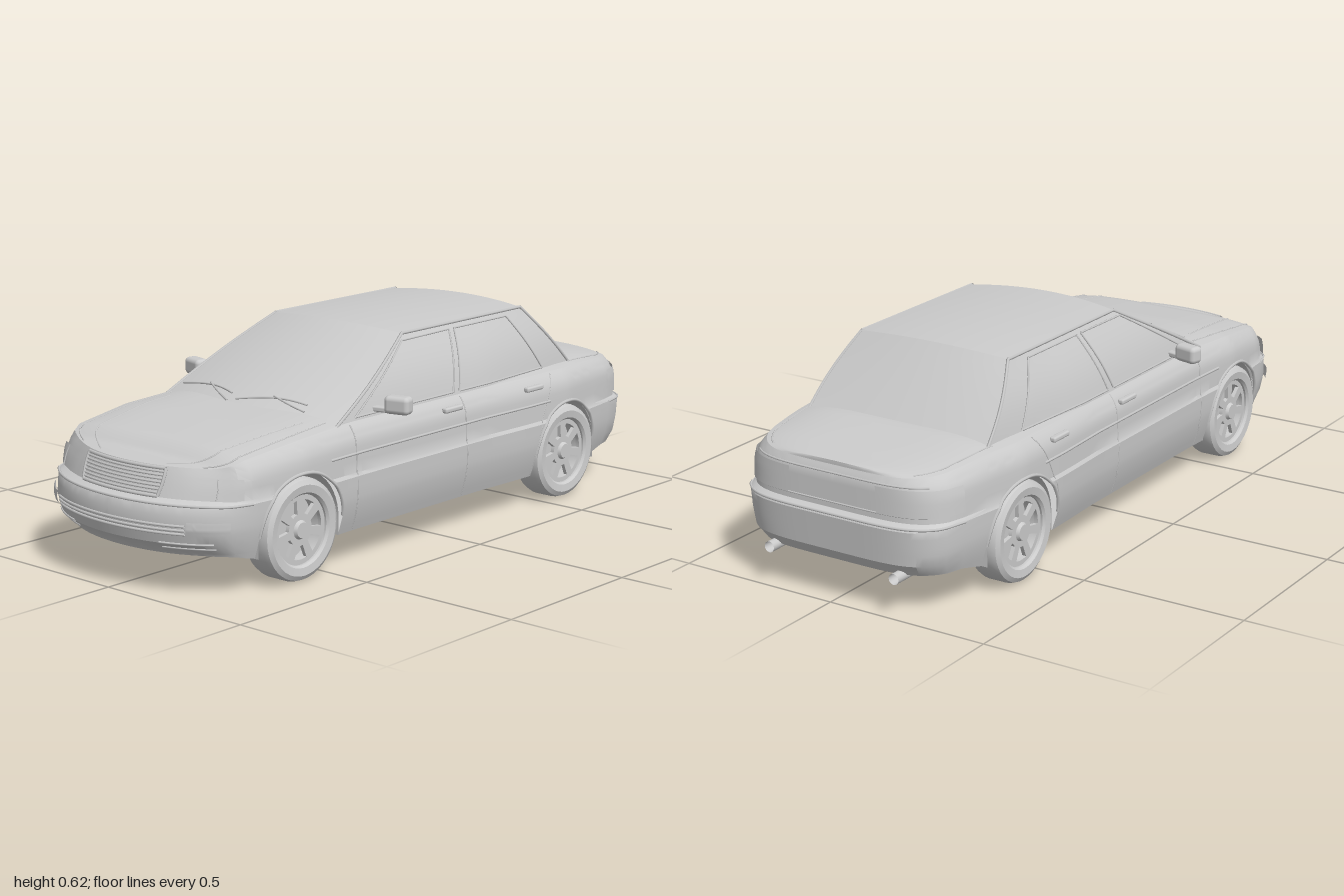
import * as THREE from 'three';
import { toCreasedNormals } from 'three/addons/utils/BufferGeometryUtils.js';
import { RoundedBoxGeometry } from 'three/addons/geometries/RoundedBoxGeometry.js';

const MAT = new THREE.MeshStandardMaterial({ color: 0xcccccc, side: THREE.DoubleSide });
const V = (x, y, z) => new THREE.Vector3(x, y, z);
const lerp = THREE.MathUtils.lerp, clamp = THREE.MathUtils.clamp;

function mesh(name, geo, parent) {
  const m = new THREE.Mesh(geo, MAT);
  m.name = name;
  parent.add(m);
  return m;
}

// piecewise-linear lookup in a list of [key, value] with rising keys
function look(t, k) {
  if (k <= t[0][0]) return t[0][1];
  for (let i = 1; i < t.length; i++)
    if (k <= t[i][0]) return lerp(t[i - 1][1], t[i][1], (k - t[i - 1][0]) / (t[i][0] - t[i - 1][0]));
  return t[t.length - 1][1];
}

// surface from f(i, j) -> Vector3 over an integer grid
function grid(f, n, m) {
  const pos = [], idx = [];
  for (let i = 0; i <= n; i++) for (let j = 0; j <= m; j++) pos.push(...f(i, j).toArray());
  for (let i = 0; i < n; i++) for (let j = 0; j < m; j++) {
    const a = i * (m + 1) + j, b = a + m + 1;
    idx.push(a, b, a + 1, b, b + 1, a + 1);
  }
  const g = new THREE.BufferGeometry();
  g.setAttribute('position', new THREE.Float32BufferAttribute(pos, 3));
  g.setIndex(idx);
  return toCreasedNormals(g, 0.5);
}
const patch = (f, n, m) => grid((i, j) => f(i / n, j / m), n, m);

// thin tube along f(t), t = 0..1
function line(f, r = 0.0025, n = 20) {
  const pts = Array.from({ length: n + 1 }, (_, i) => f(i / n));
  return new THREE.TubeGeometry(new THREE.CatmullRomCurve3(pts), n * 2, r, 5);
}

// --- lower body tables ---
const ARCH_R = 0.162, AXLE_Y = 0.146, AXLES = [0.61, -0.595];
const HALF = [[-0.85, 0.343], [-0.6, 0.38], [-0.4, 0.38], [-0.2, 0.372], [0.35, 0.372], [0.6, 0.38], [0.8, 0.36]];
const TOP = [[-1, 0.385], [-0.9, 0.395], [-0.7, 0.405], [0.4, 0.405], [0.6, 0.395], [0.8, 0.372], [0.92, 0.348], [1, 0.348]];
const CROWN = [[-1, 0.012], [-0.7, 0.022], [0.45, 0.022], [0.8, 0.016], [0.95, 0.002], [1, 0]];
const INSET = [[0.09, 0.03], [0.12, 0.02], [0.16, 0.008], [0.2, 0.002], [0.258, 0], [0.268, 0.006], [0.33, 0.008], [0.42, 0.014]];
const NOSE = [[0.09, 0.06], [0.12, 0.045], [0.15, 0.012], [0.2, 0], [0.25, 0.008], [0.258, 0.014], [0.268, 0.04], [0.35, 0.07]];
const TAIL = [[0.09, 0.05], [0.12, 0.03], [0.15, 0.008], [0.25, 0], [0.258, 0.004], [0.268, 0.02], [0.36, 0.024], [0.4, 0.045]];
const SILL = [[-0.85, 0.115], [-0.76, 0.095], [0.76, 0.095], [0.86, 0.112]];
const ROWS = [0, 0.12, 0.15, 0.18, 0.2, 0.23, 0.25, 0.258, 0.268, 0.3, 0.32, 0.34, 0.355, 0.37, 0.38, 0.39, 0.397, 0.41];

const noseS = f => 0.8 + 0.2 * Math.sqrt(Math.max(0, 1 - f * f));
const tailS = f => -0.85 - 0.15 * Math.sqrt(Math.max(0, 1 - f ** 5));
function halfWidth(s) {
  if (s > 0.8) return 0.36 * Math.sqrt(Math.max(0, 1 - ((s - 0.8) / 0.2) ** 2));
  if (s < -0.85) return 0.343 * Math.max(0, 1 - ((s + 0.85) / 0.15) ** 2) ** 0.2;
  return look(HALF, s);
}
const inArch = s => AXLES.find(c => Math.abs(s - c) < ARCH_R);

// point on the left body side at length position s and height y
function hull(s, y, off = 0) {
  const c = inArch(s), top = look(TOP, s);
  const low = c === undefined ? look(SILL, s) : AXLE_Y + Math.sqrt(ARCH_R ** 2 - (s - c) ** 2);
  y = clamp(y, low, top);
  const round = 0.026 * Math.max(0, 1 - (top - y) / 0.06) ** 2;
  const x = halfWidth(s) * (1 - (look(INSET, y) + round) / 0.38);
  const ends = THREE.MathUtils.smoothstep(Math.abs(s), 0.78, 0.95);
  return V(x + off, y, s - ends * (s > 0 ? look(NOSE, y) : -look(TAIL, y)));
}
// points on the front and rear faces by x
function front(x, y, off = 0.003) {
  const f = Math.min(1, Math.abs(x) / 0.36), p = hull(noseS(f), y);
  return V(Math.sign(x) * (p.x + off * f), p.y, p.z + off);
}
function rear(x, y, off = 0.003) {
  const f = Math.min(1, Math.abs(x) / 0.343), p = hull(tailS(f), y);
  return V(Math.sign(x) * (p.x + off * f ** 4), p.y, p.z - off);
}
// point on hood or trunk, u = -1..1 across
function deck(s, u, off = 0) {
  const p = hull(s, 1);
  return V(p.x * u, p.y + look(CROWN, s) * (1 - u ** 4) + off, p.z);
}

// --- cabin surfaces, v = 0 at belt, 1 at roof ---
const bulge = v => 0.012 * Math.sin(Math.PI * v);
function cabinSide(u, v, off = 0) {
  const base = 0.335 - 0.03 * Math.max(0, (u - 0.6) / 0.4);
  return V(lerp(base, 0.25, v) + bulge(v) + off, 0.4 + 0.2 * v, lerp(lerp(0.44, 0.06, v), lerp(-0.69, -0.5, v), u));
}
function cabinAt(z, y, off = 0.002) {
  const v = (y - 0.4) / 0.2, a = lerp(0.44, 0.06, v), b = lerp(-0.69, -0.5, v);
  return cabinSide((z - a) / (b - a), v, off);
}
function screen(end, u, v, off = 0) {
  const e = cabinSide(end, v), bow = end ? -0.015 : lerp(0.08, 0.025, v);
  return V(e.x * u, e.y + 0.014 * (1 - u * u) * v + off, e.z + bow * (1 - u * u));
}

function buildBody(car) {
  const st = [];
  for (let i = 0; i <= 24; i++) st.push(noseS(i / 24), tailS(i / 24));
  for (const c of AXLES) {
    for (let i = 0; i <= 28; i++) st.push(c + ARCH_R * 0.99999 * Math.cos(Math.PI * i / 28));
    st.push(c - ARCH_R - 1e-4, c + ARCH_R + 1e-4);
  }
  for (let i = 0; i <= 12; i++) st.push(lerp(-0.42, 0.44, i / 12));
  st.sort((a, b) => b - a);
  const n = st.length - 1;
  for (const k of [1, -1])
    mesh('bodySide', grid((i, j) => hull(st[i], ROWS[j]), n, ROWS.length - 1), car).scale.x = k;
  mesh('hoodAndTrunkDeck', grid((i, j) => deck(st[i], j / 10 - 1), n, 20), car);
  mesh('floor', grid((i, j) => {
    const p = hull(st[i], 0), a = inArch(st[i]) !== undefined;
    return V((a ? 0.25 : p.x) * (j * 2 - 1), a ? look(SILL, st[i]) : p.y, p.z);
  }, n, 1), car);

  mesh('windshield', patch((a, v) => screen(0, a * 2 - 1, v), 16, 10), car);
  mesh('rearWindow', patch((a, v) => screen(1, a * 2 - 1, v), 16, 10), car);
  mesh('roof', patch((a, t) => {
    const u = a * 2 - 1, p = screen(0, u, 1).lerp(screen(1, u, 1), t);
    p.y += 0.004 * Math.sin(Math.PI * t);
    return p;
  }, 16, 8), car);
}

function buildSide(side) {
  mesh('cabinSide', patch((u, v) => cabinSide(u, v), 20, 10), side);
  for (const end of [0, 1]) mesh('pillarTrim', line(t => cabinSide(end, t), 0.005), side);
  mesh('roofRail', line(t => cabinSide(t, 1), 0.005), side);

  // door glass: corners in (z, y), with a raised frame round each
  for (const q of [[[0.36, 0.415], [0.075, 0.583], [-0.14, 0.585], [-0.075, 0.415]],
    [[-0.105, 0.415], [-0.165, 0.585], [-0.415, 0.585], [-0.53, 0.415]]]) {
    mesh('doorGlass', patch((u, v) => cabinAt(
      lerp(lerp(q[0][0], q[3][0], u), lerp(q[1][0], q[2][0], u), v), lerp(q[0][1], q[1][1], v)), 8, 8), side);
    q.forEach((a, i) => {
      const b = q[(i + 1) % 4];
      mesh('windowFrame', line(t => cabinAt(lerp(a[0], b[0], t), lerp(a[1], b[1], t), 0.003), 0.003), side);
    });
  }
  // door seams, side moulding, handles
  for (const [z0, z1] of [[0.39, 0.39], [-0.1, -0.1], [-0.425, -0.53]])
    mesh('doorSeam', line(t => hull(lerp(z0, z1, t * t), lerp(0.1, 0.4, t)), 0.002), side);
  mesh('sideMoulding', line(t => hull(lerp(0.5, -0.5, t), 0.322), 0.004), side);
  for (const z of [-0.04, -0.42]) {
    const h = mesh('doorHandle', new RoundedBoxGeometry(0.02, 0.016, 0.08, 2, 0.006), side);
    h.position.copy(hull(z, 0.375, 0.006));
  }
  // arch lips and wheel wells
  for (const c of AXLES) {
    mesh('archLip', line(t => {
      const a = Math.PI * lerp(0.02, 0.98, t), p = hull(c + ARCH_R * Math.cos(a), 0);
      return V(p.x, p.y, p.z);
    }, 0.005, 28), side);
    const path = t => t < 0.1 || t > 0.9
      ? V(0, lerp(0.095, AXLE_Y, Math.min(t, 1 - t) * 10), c + (t < 0.5 ? ARCH_R : -ARCH_R))
      : V(0, AXLE_Y + ARCH_R * Math.sin(Math.PI * (t - 0.1) / 0.8), c + ARCH_R * Math.cos(Math.PI * (t - 0.1) / 0.8));
    mesh('wheelWell', patch((t, v) => path(t).setX(lerp(0.25, 0.35, v)), 30, 1), side);
    mesh('wheelWellWall', patch((t, v) => { const p = path(t); return V(0.25, lerp(0.095, p.y, v), p.z); }, 30, 1), side);
    buildWheel(side, c);
  }
  // mirror
  const m = new THREE.Group();
  m.name = 'mirror';
  m.position.set(0.4, 0.442, 0.25);
  m.rotation.y = 0.25;
  mesh('mirrorHousing', new RoundedBoxGeometry(0.078, 0.052, 0.045, 3, 0.014), m);
  mesh('mirrorArm', new RoundedBoxGeometry(0.06, 0.016, 0.025, 2, 0.005), m).position.set(-0.055, -0.017, 0);
  side.add(m);
  // lamps and lower intakes
  const panel = (name, f, x0, x1, y0, y1, off) =>
    mesh(name, patch((u, v) => f(lerp(x0, x1, u), lerp(y0, y1, v), off), 14, 4), side);
  panel('headlight', front, 0.185, 0.355, 0.272, 0.328, 0.006);
  mesh('headlightDivider', line(t => front(0.3, lerp(0.272, 0.328, t), 0.007), 0.002), side);
  panel('fogLamp', front, 0.25, 0.34, 0.183, 0.218, 0.008);
  for (const y of [0.136, 0.152]) mesh('lowerIntakeRim', line(t => front(lerp(0.17, 0.31, t), y, 0.001), 0.003), side);
  panel('tailLight', rear, 0.15, 0.343, 0.285, 0.36, 0.005);
  // hood and trunk seams, hood crease
  mesh('hoodSeam', line(t => deck(lerp(0.45, 0.93, t), lerp(0.9, 0.94, t)), 0.0025), side);
  mesh('hoodCrease', line(t => deck(lerp(0.5, 0.965, t), lerp(0.78, 0.7, t), -0.001), 0.003), side);
  mesh('trunkSeam', line(t => deck(lerp(-0.67, -0.97, t), 0.93), 0.0025), side);
  // exhaust
  const e = mesh('exhaustPipe', new THREE.CylinderGeometry(0.016, 0.016, 0.1, 16, 1, true), side);
  e.rotation.x = Math.PI / 2;
  e.position.set(0.21, 0.113, -0.945);
}

function buildWheel(side, z) {
  const wheel = new THREE.Group();
  wheel.name = 'wheel';
  wheel.position.set(0.32, AXLE_Y, z);
  wheel.rotation.z = -Math.PI / 2;
  const tyre = [[0.1, -0.045], [0.128, -0.05], [0.141, -0.042], [0.146, -0.028], [0.146, 0.028], [0.141, 0.042],
    [0.128, 0.05], [0.106, 0.047], [0.1, 0.04], [0.096, -0.02], [0.1, -0.045]];
  mesh('tyreAndRim', toCreasedNormals(new THREE.LatheGeometry(tyre.map(p => new THREE.Vector2(...p)), 40), 0.6), wheel);
  // seven-spoke face
  const face = new THREE.Shape().absarc(0, 0, 0.1, 0, Math.PI * 2);
  for (let i = 0; i < 7; i++) {
    const a = i * Math.PI * 2 / 7, h = new THREE.Path();
    h.absarc(0, 0, 0.085, a - 0.29, a + 0.29, false);
    h.absarc(0, 0, 0.046, a + 0.2, a - 0.2, true);
    h.closePath();
    face.holes.push(h);
  }
  const f = mesh('rimSpokes', new THREE.ExtrudeGeometry(face, { depth: 0.012, bevelEnabled: false, curveSegments: 24 }), wheel);
  f.rotation.x = -Math.PI / 2;
  f.position.y = 0.022;
  mesh('hubCap', new THREE.CylinderGeometry(0.022, 0.028, 0.01, 20), wheel).position.y = 0.038;
  mesh('brakeDisc', new THREE.CylinderGeometry(0.098, 0.098, 0.01, 32), wheel).position.y = -0.02;
  side.add(wheel);
}

function buildFrontAndRear(car) {
  // grille: frame and slats
  const w = y => lerp(0.145, 0.16, (y - 0.272) / 0.072);
  for (let i = 0; i <= 8; i++) {
    const y = lerp(0.272, 0.344, i / 8), r = i % 8 ? 0.0032 : 0.005;
    mesh('grilleSlat', line(t => front(lerp(-w(y), w(y), t), y, 0.007), r), car);
  }
  for (const k of [1, -1]) mesh('grilleEdge', line(t => { const y = lerp(0.272, 0.344, t); return front(k * w(y), y, 0.007); }, 0.005), car);
  for (const y of [0.182, 0.193, 0.205]) mesh('bumperSlat', line(t => front(lerp(-0.245, 0.245, t), y, 0.003), 0.004), car);
  mesh('frontBumperTrim', line(t => front(lerp(-0.36, 0.36, t), 0.258, 0.001), 0.004, 30), car);
  mesh('rearBumperTrim', line(t => rear(lerp(-0.343, 0.343, t), 0.258, 0.001), 0.004, 30), car);
  mesh('trunkLidEdge', line(t => rear(lerp(-0.3, 0.3, t), 0.366, 0.001), 0.003, 30), car);
  mesh('tailPanelSeam', line(t => rear(lerp(-0.3, 0.3, t), 0.285, 0.001), 0.0025, 30), car);
  // wipers lying on the windshield
  for (const u0 of [-0.9, -0.08]) {
    mesh('wiperBlade', line(t => screen(0, u0 + 0.72 * t, 0.12 + 0.07 * Math.sin(Math.PI * t * 0.8), 0.008), 0.003), car);
    mesh('wiperArm', line(t => screen(0, u0 + 0.36 + 0.4 * t, lerp(0.19, 0.08, t), 0.013), 0.003), car);
  }
}

export function createModel() {
  const car = new THREE.Group();
  car.name = 'sedan';
  buildBody(car);
  for (const k of [1, -1]) {
    const side = new THREE.Group();
    side.name = k > 0 ? 'leftSide' : 'rightSide';
    buildSide(side);
    side.scale.x = k;
    car.add(side);
  }
  buildFrontAndRear(car);
  return car;
}
